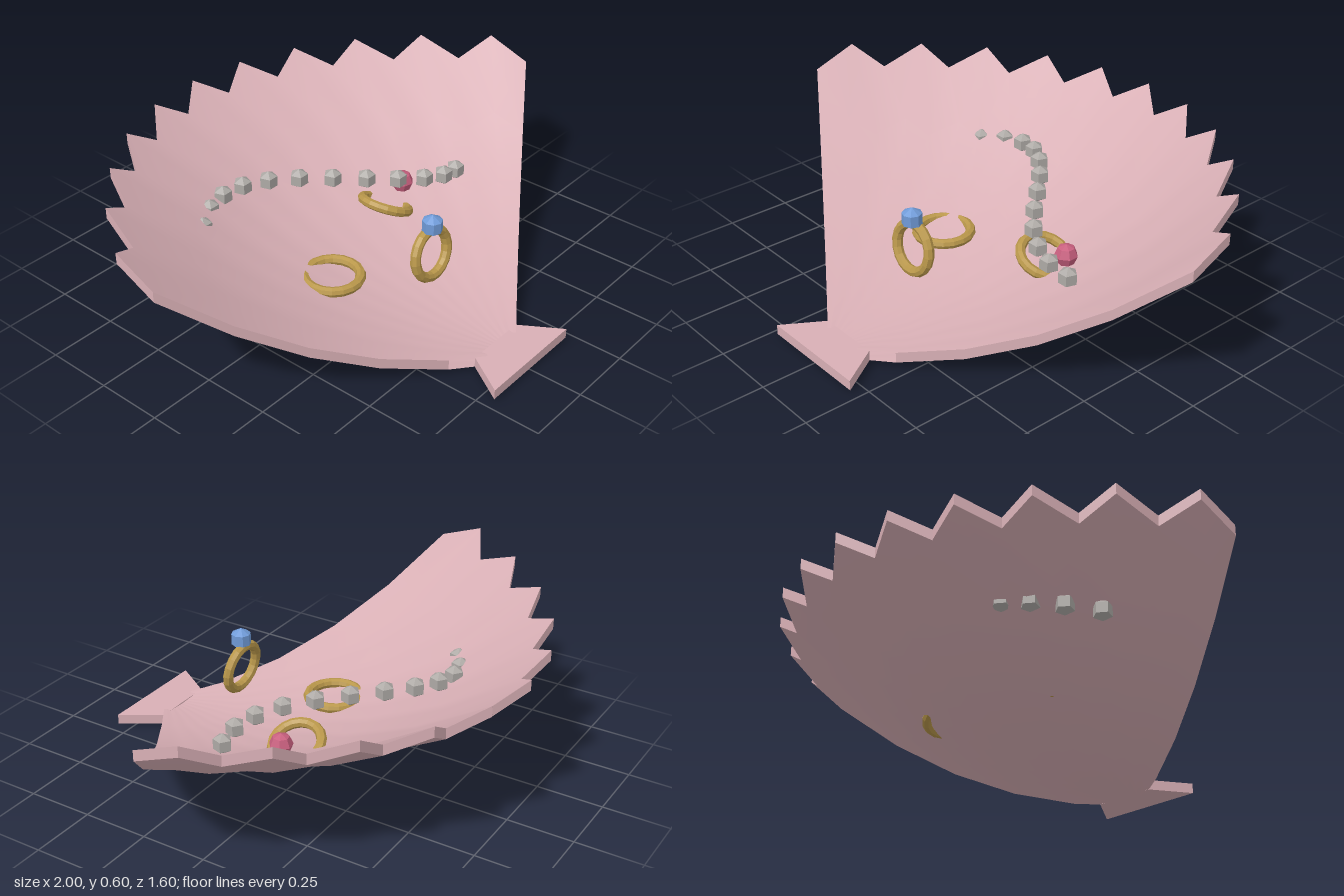
import * as THREE from 'three';

const mat = (name, color, side = THREE.FrontSide) => {
  const m = new THREE.MeshStandardMaterial({ color, side });
  m.name = name;
  return m;
};

// Grid surface: fn(i, j) gives the point at column i, row j
function sheet(cols, rows, fn) {
  const pos = [], idx = [];
  for (let j = 0; j <= rows; j++) for (let i = 0; i <= cols; i++) pos.push(...fn(i, j));
  for (let j = 0; j < rows; j++) for (let i = 0; i < cols; i++) {
    const a = j * (cols + 1) + i, b = a + 1, c = a + cols + 1, d = c + 1;
    idx.push(a, b, c, b, d, c);
  }
  const g = new THREE.BufferGeometry();
  g.setAttribute('position', new THREE.Float32BufferAttribute(pos, 3));
  g.setIndex(idx);
  g.computeVertexNormals();
  return g;
}

const RIBS = 22, RINGS = 5, THICK = 0.04;

// Point on the shell: rib i across the fan, ring j outward from the hinge
function shellPoint(i, j, drop = 0) {
  const k = i - RIBS / 2, t = j / RINGS;
  const a = k * Math.PI / 36, s2 = Math.sin(a) ** 2;
  const long = k % 2 === 0;
  const x = (long ? 1.295 : 1.25 - 0.045 * s2) * Math.sin(a);
  const depth = (long ? 1.535 : 1.46) * Math.cos(a) - 0.23 * s2;
  const rise = (long ? 0.525 : 0.455) + 0.062 * s2;
  return [x * t, 0.04 + rise * t ** (2.2 - 0.25 * s2) - drop, 0.735 - depth * t];
}

export function createModel() {
  const model = new THREE.Group();
  model.name = 'jewelleryShell';
  const shellMat = mat('shell pink', 0xd8afb5, THREE.DoubleSide);
  const gold = mat('gold', 0xb9974a);
  const pearlMat = mat('pearl grey', 0xaeaaa6);
  const blue = mat('blue gem', 0x709bd8);
  const rose = mat('rose gem', 0xc9607f);
  for (const m of [gold, pearlMat, blue, rose]) m.flatShading = true;

  const add = (name, geo, material, x = 0, y = 0, z = 0, rx = 0, ry = 0, rz = 0) => {
    const mesh = new THREE.Mesh(geo, material);
    mesh.name = name;
    mesh.position.set(x, y, z);
    mesh.rotation.set(rx, ry, rz);
    model.add(mesh);
    return mesh;
  };

  // Ribbed shell: inner and outer skins, toothed rim and side edges
  add('shellInside', sheet(RIBS, RINGS, (i, j) => shellPoint(i, j)), shellMat);
  add('shellOutside', sheet(RIBS, RINGS, (i, j) => shellPoint(RIBS - i, j, THICK)), shellMat);
  const rim = sheet(RIBS, 1, (i, j) => shellPoint(i, RINGS, j ? 0 : THICK)).toNonIndexed();
  // Outward winding for the rim, with a crisp edge on each tooth
  rim.scale(-1, 1, 1);
  rim.computeVertexNormals();
  add('shellRim', rim, shellMat);
  for (const side of [0, RIBS]) {
    const edge = sheet(RINGS - 1, 1, (i, j) =>
      shellPoint(side, side ? i + 1 : RINGS - i, j ? THICK : 0));
    // Rows run downward, so reverse the faces to look outward
    edge.setIndex([...edge.index.array].reverse());
    edge.computeVertexNormals();
    add(side ? 'leftEdge' : 'rightEdge', edge, shellMat);
  }

  // Flared hinge plate
  const plate = new THREE.Shape();
  plate.moveTo(-0.215, -0.8);
  plate.lineTo(0.215, -0.8);
  plate.lineTo(0.12, -0.65);
  plate.lineTo(-0.12, -0.65);
  plate.closePath();
  const hinge = new THREE.ExtrudeGeometry(plate, { depth: 0.038, bevelEnabled: false });
  hinge.rotateX(-Math.PI / 2);
  add('hingePlate', hinge, shellMat, 0, 0.01, 0);

  // Three gold rings: one upright, two resting in the shell
  const ring = (R) => new THREE.TorusGeometry(R, 0.019, 8, 18);
  add('uprightRing', ring(0.088), gold, 0, 0.287, 0.36, -0.15);
  add('flatRing', ring(0.1), gold, -0.19, 0.16, 0.07, Math.PI / 2);
  const tilted = ring(0.09);
  tilted.rotateX(Math.PI / 2);
  add('tiltedRing', tilted, gold, 0.24, 0.205, -0.04, 0, 0, -0.44);

  // Gems
  add('blueGem', new THREE.SphereGeometry(0.042, 8, 3), blue, 0, 0.405, 0.36);
  add('roseGem', new THREE.SphereGeometry(0.043, 7, 4), rose, 0.345, 0.255, -0.045);

  // Wavy string of pearls, partly sunk through the shell
  const pearl = new THREE.SphereGeometry(0.039, 5, 3);
  pearl.rotateY(-Math.PI / 2);
  for (let n = 0; n < 14; n++) {
    const x = -0.603 + n * 0.0845;
    const z = -0.145 - 0.245 * Math.cos(Math.PI * (x + 0.265) / 0.7);
    const y = 0.355 - 0.065 * ((x + 0.05) / 0.55) ** 2;
    add('pearl', pearl, pearlMat, x, y, z);
  }
  return model;
}
